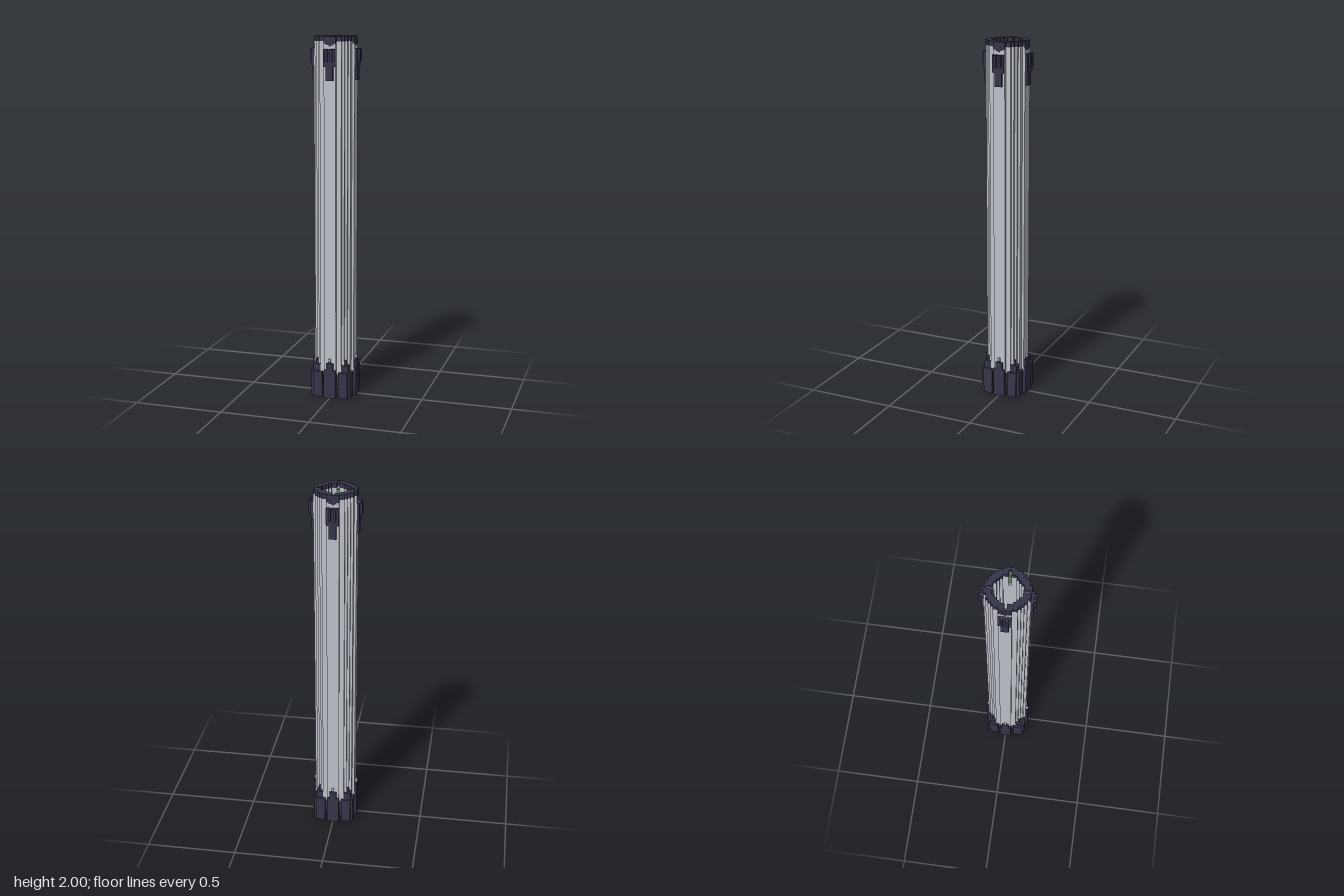
import * as THREE from 'three';

const V = 2 / 150; // one block cell

const mat = (name, color) => {
  const m = new THREE.MeshStandardMaterial({ color });
  m.name = name;
  return m;
};

// Stepped outline, symmetric in both axes; rows[j] is the last filled cell in row |j|
function steppedPoints(rows) {
  const quarter = [];
  rows.forEach((r, j) => {
    const x = (r + 0.5) * V;
    if (j > 0) quarter.push([x, (j - 0.5) * V]);
    quarter.push([x, (j + 0.5) * V]);
  });
  const pts = [];
  const add = (sx, sy, rev) => {
    const q = rev ? [...quarter].reverse() : quarter;
    q.forEach(([x, y]) => pts.push(new THREE.Vector2(x * sx, y * sy)));
  };
  add(1, 1, false);
  add(-1, 1, true);
  add(-1, -1, false);
  add(1, -1, true);
  return pts.filter((p, i) => !i || p.distanceTo(pts[i - 1]) > 1e-6);
}

// Upright prism between two cell heights
function prism(outer, holes, y0, y1) {
  const shape = new THREE.Shape(outer);
  holes.forEach((h) => shape.holes.push(new THREE.Path(h)));
  const g = new THREE.ExtrudeGeometry(shape, { depth: (y1 - y0) * V, bevelEnabled: false });
  g.rotateX(-Math.PI / 2);
  g.translate(0, y0 * V, 0);
  return g;
}

// Box covering cells x0..x1 and z0..z1, from height y0 to y1
function cells(x0, x1, z0, z1, y0, y1) {
  const g = new THREE.BoxGeometry((x1 - x0 + 1) * V, (y1 - y0) * V, (z1 - z0 + 1) * V);
  g.translate(((x0 + x1) / 2) * V, ((y0 + y1) / 2) * V, ((z0 + z1) / 2) * V);
  return g;
}

export function createModel() {
  const model = new THREE.Group();
  const dark = mat('dark metal', 0x35354a);
  const glass = mat('pale glass', 0xbfc3cb);
  const green = mat('green light', 0x4a8f50);
  const add = (parent, name, geo, material) => {
    const m = new THREE.Mesh(geo, material);
    m.name = name;
    parent.add(m);
  };

  const outer = steppedPoints([8, 8, 8, 7, 7, 6, 5, 4, 2]);
  const innerRows = [5, 5, 5, 4, 3, 2];
  const inner = steppedPoints(innerRows);
  const notched = steppedPoints([7, 5, 5, 4, 3, 2, 0, 0]);
  const baseHole = steppedPoints([4, 4, 3, 2, 1]);

  // Tube, floor and top ring
  add(model, 'tubeWall', prism(outer, [inner], 10, 141), glass);
  add(model, 'tubeUpperWall', prism(outer, [notched], 141, 148), glass);
  add(model, 'tubeFloor', prism(inner, [], 10, 11), glass);
  add(model, 'topRing', prism(outer, [notched], 148, 150), dark);

  // Base core
  add(model, 'baseCore', prism(outer, [baseHole], 4, 10), dark);
  add(model, 'baseFoot', prism(steppedPoints([5, 5, 5, 5, 4, 3]), [baseHole], 0, 4), dark);

  // Corner lobe outline with its outer corner cut away
  const cornerLobe = [[3.5, -3.5], [8.5, -3.5], [8.5, -7.5], [7.5, -7.5], [7.5, -8.5], [3.5, -8.5]]
    .map(([x, y]) => new THREE.Vector2(x * V, y * V));
  const rect = (x0, x1, z0, z1) => [[x0, -z0], [x1, -z0], [x1, -z1], [x0, -z1]]
    .map(([x, y]) => new THREE.Vector2(x * V, y * V));

  for (let k = 0; k < 4; k++) {
    const side = new THREE.Group();
    side.name = 'side' + (k + 1);
    side.rotation.y = (k * Math.PI) / 2;
    model.add(side);

    // Side lobe of the base, hollow underneath, with a stepped spire
    add(side, 'sideLobeFoot', prism(rect(-2.5, 2.5, 5.5, 9.5), [rect(-1.5, 1.5, 6.5, 8.5)], 0, 4), dark);
    add(side, 'sideLobe', cells(-2, 2, 6, 9, 4, 11), dark);
    add(side, 'sideSpireLower', cells(-2, 2, 9, 9, 11, 12), dark);
    add(side, 'sideSpireMiddle', cells(-1, 1, 9, 9, 12, 15), dark);
    add(side, 'sideSpireUpper', cells(0, 0, 9, 9, 15, 16), dark);
    add(side, 'sideSpireTip', cells(0, 0, 9, 9, 16, 17), glass);

    // Corner lobe of the base with its spire
    add(side, 'cornerLobeFoot', prism(cornerLobe, [rect(4.5, 7.5, 4.5, 7.5)], 0, 4), dark);
    add(side, 'cornerLobe', prism(cornerLobe, [], 4, 11), dark);
    add(side, 'cornerSpireLower', cells(5, 7, 5, 7, 11, 14), dark);
    add(side, 'cornerSpireUpper', cells(6, 6, 6, 6, 14, 16), dark);

    // Stepped wedge hanging from the top ring, proud of the glass by a hair
    [[2, 147, 148], [1, 146.5, 147], [0, 146, 146.5]].forEach(([h, y0, y1]) =>
      add(side, 'ringWedge', cells(-h, h, 8.06, 8.06, y0, y1), dark));

    // Clamp with two prongs
    add(side, 'clampPlate', cells(-2, 2, 9, 9, 138, 145), dark);
    add(side, 'clampTail', cells(-1, 1, 9, 9, 132.5, 138), dark);
    [-1, 1].forEach((x) => add(side, 'clampProng', cells(x, x, 10, 10, 140, 145), dark));

    // Light set in the notch of the wall
    add(side, 'notchLight', cells(0, 0, 7, 7, 141, 147), green);
  }
  return model;
}
